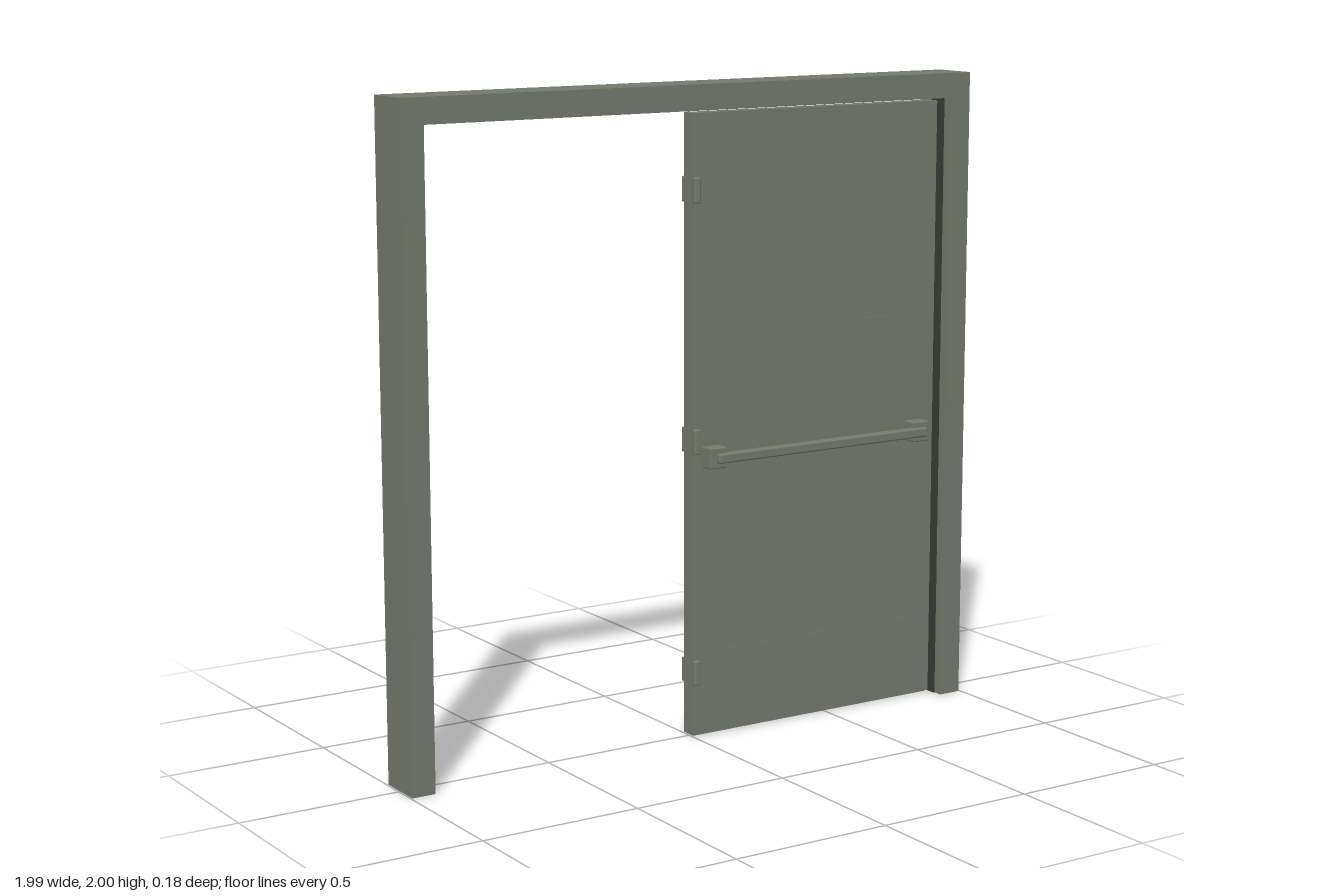
import * as THREE from 'three';
import { RoundedBoxGeometry } from 'three/addons/geometries/RoundedBoxGeometry.js';

const paint = new THREE.MeshStandardMaterial({ color: 0x747a6d });
paint.name = 'grey green paint';
const seal = new THREE.MeshStandardMaterial({ color: 0x3a3c36 });
seal.name = 'dark seal';

// Box given by its limits on each axis
function box(parent, name, [x0, x1], [y0, y1], [z0, z1], mat = paint, radius = 0) {
  const size = [x1 - x0, y1 - y0, z1 - z0];
  const geo = radius ? new RoundedBoxGeometry(...size, 2, radius) : new THREE.BoxGeometry(...size);
  const mesh = new THREE.Mesh(geo, mat);
  mesh.name = name;
  mesh.position.set((x0 + x1) / 2, (y0 + y1) / 2, (z0 + z1) / 2);
  parent.add(mesh);
  return mesh;
}

// Jambs and header as one portal outline
function buildFrame() {
  const frame = new THREE.Group();
  frame.name = 'doorFrame';
  const W = 0.995, I = 0.92, H = 2, T = 1.923, D = 0.15;
  const outline = new THREE.Shape([
    [-W, 0], [-I, 0], [-I, T], [I, T], [I, 0], [W, 0], [W, H], [-W, H],
  ].map(([x, y]) => new THREE.Vector2(x, y)));
  const geo = new THREE.ExtrudeGeometry(outline, { depth: D, bevelEnabled: false });
  geo.translate(0, 0, -D / 2);
  const portal = new THREE.Mesh(geo, paint);
  portal.name = 'jambsAndHeader';
  frame.add(portal);
  box(frame, 'leftSeal', [0.915, I], [0, T], [-0.015, 0.045], seal);
  box(frame, 'rightSeal', [-I, -0.915], [0, T], [-0.015, 0.045], seal);
  return frame;
}

// Fittings of one door face; local z = 0 is the door surface, +z is outward
function buildFittings() {
  const side = new THREE.Group();
  for (const y of [0.165, 0.885, 1.645]) {
    box(side, 'hinge', [-0.001, 0.02], [y, y + 0.077], [-0.005, 0.012], paint, 0.004);
  }

  // Push bar held by two brackets
  const bar = new THREE.Group();
  bar.name = 'pushBar';
  box(bar, 'bar', [0.055, 0.845], [0.86, 0.89], [0.03, 0.062], paint, 0.006);
  for (const x of [0.032, 0.802]) {
    box(bar, 'barBracket', [x, x + 0.06], [0.843, 0.907], [-0.002, 0.046], paint, 0.004);
  }
  side.add(bar);

  // Lock plate and kick plate
  box(side, 'lockPlate', [0.625, 0.745], [1.18, 1.25], [-0.001, 0.005]);
  box(side, 'kickPlate', [0.022, 0.89], [0.008, 0.265], [-0.001, 0.002]);

  // Screws along the kick plate
  const screwGeo = new THREE.CylinderGeometry(0.003, 0.003, 0.002, 8).rotateX(Math.PI / 2);
  for (const y of [0.022, 0.25]) {
    for (let i = 0; i < 8; i++) {
      const screw = new THREE.Mesh(screwGeo, paint);
      screw.name = 'kickPlateScrew';
      screw.position.set(0.04 + i * 0.119, y, 0.0025);
      side.add(screw);
    }
  }
  return side;
}

export function createModel() {
  const model = new THREE.Group();
  model.name = 'doorway';
  model.add(buildFrame());

  // Door leaf with a slightly recessed closing edge
  const door = new THREE.Group();
  door.name = 'door';
  const back = -0.029, front = 0.023;
  box(door, 'doorLeaf', [0, 0.895], [0.004, 1.912], [back, front]);
  box(door, 'closingEdge', [0.895, 0.911], [0.004, 1.912], [back + 0.003, front - 0.003]);

  const frontFittings = buildFittings();
  frontFittings.name = 'frontFittings';
  frontFittings.position.z = front;
  door.add(frontFittings);

  // Same fittings mirrored to the back
  const backFittings = buildFittings();
  backFittings.name = 'backFittings';
  backFittings.scale.z = -1;
  backFittings.position.z = back;
  door.add(backFittings);

  model.add(door);
  return model;
}
